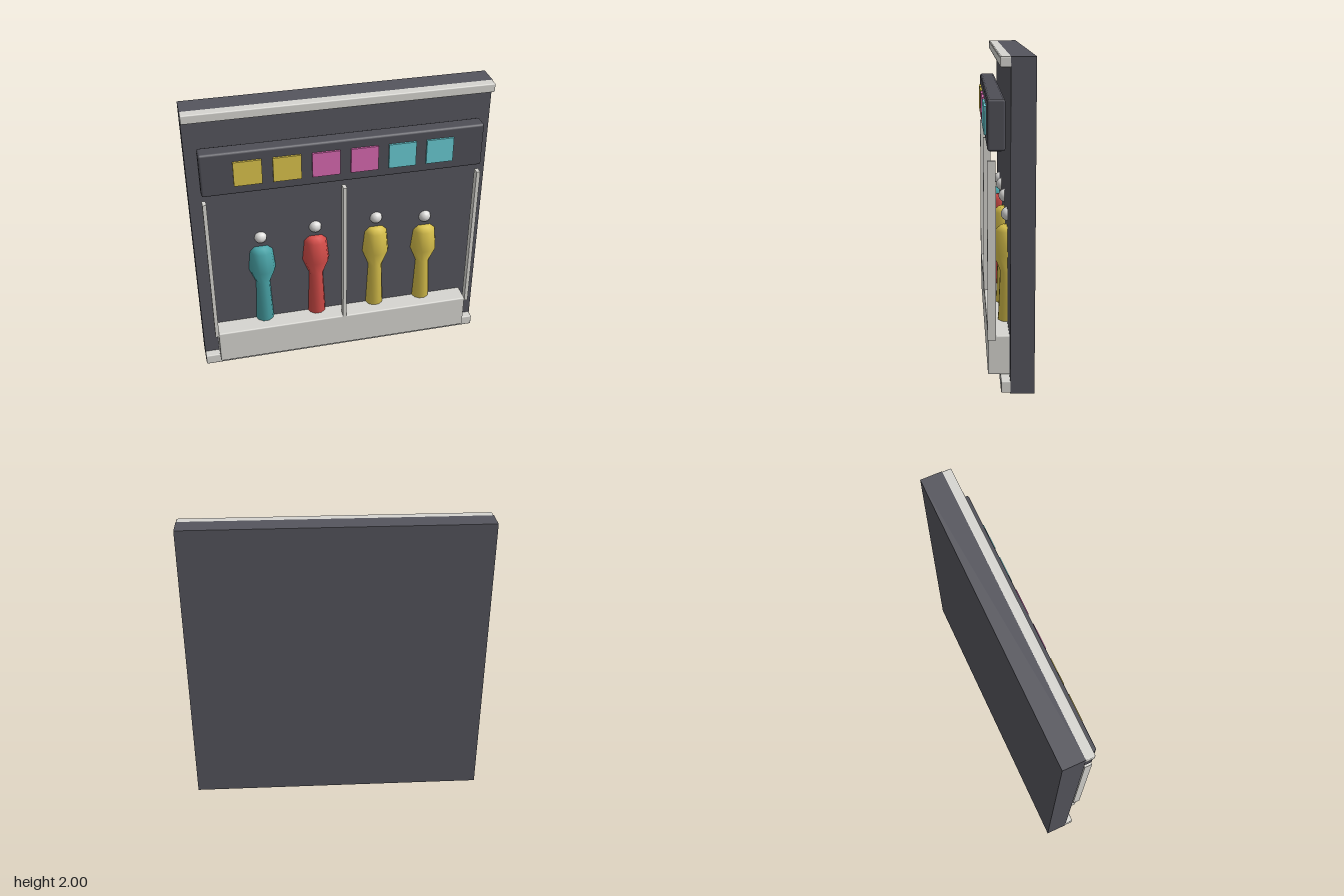
import * as THREE from 'three';
import { RoundedBoxGeometry } from 'three/addons/geometries/RoundedBoxGeometry.js';

export function createModel() {
  const model = new THREE.Group();
  model.name = 'displayWall';

  const material = (name, color) => {
    const m = new THREE.MeshStandardMaterial({ color });
    m.name = name;
    return m;
  };
  const charcoal = material('charcoal', 0x55555d);
  const darkGrey = material('darkGrey', 0x4e4e56);
  const stone = material('paleStone', 0xd6d5d0);
  const yellow = material('yellow', 0xdac24c);
  const pink = material('pink', 0xd868b0);
  const cyan = material('cyan', 0x68cad2);
  const teal = material('teal', 0x4aa6aa);
  const red = material('red', 0xd84e4a);
  const headGrey = material('headGrey', 0xdcdbd9);

  // Box given by its limits on each axis, chamfered when bevel > 0
  const box = (name, mat, [x0, x1], [y0, y1], [z0, z1], bevel = 0) => {
    const size = [x1 - x0, y1 - y0, z1 - z0];
    const geometry = bevel ? new RoundedBoxGeometry(...size, 1, bevel) : new THREE.BoxGeometry(...size);
    const mesh = new THREE.Mesh(geometry, mat);
    mesh.name = name;
    mesh.position.set((x0 + x1) / 2, (y0 + y1) / 2, (z0 + z1) / 2);
    model.add(mesh);
  };

  // Wall slab with top and bottom trims
  box('wall', charcoal, [-1, 1], [0, 2], [-0.145, 0]);
  box('topTrim', stone, [-1, 1], [1.94, 2], [-0.01, 0.06], 0.008);
  box('bottomTrim', stone, [-1, 1], [0.005, 0.08], [-0.01, 0.055], 0.008);

  // Plinth and the three posts in front of it
  box('plinth', stone, [-0.9, 0.9], [0.08, 0.33], [-0.01, 0.13], 0.01);
  for (const x of [-0.91, 0, 0.91]) {
    box('post', stone, [x - 0.0125, x + 0.0125], [0.31, 1.4], [0.082, 0.132]);
  }

  // Sign box with coloured panels
  box('signBox', darkGrey, [-0.922, 0.922], [1.455, 1.755], [0.025, 0.13], 0.015);
  [yellow, yellow, pink, pink, cyan, cyan].forEach((mat, i) => {
    const x = -0.625 + i * 0.25;
    box('signPanel', mat, [x - 0.09, x + 0.09], [1.52, 1.69], [0.128, 0.144]);
  });

  // Standing figures: turned body (radius, fraction of height) and a ball head
  const profile = [[0, 0], [0.064, 0], [0.05, 0.52], [0.095, 0.71], [0.079, 0.95], [0.045, 1], [0, 1]]
    .map(([r, y]) => new THREE.Vector2(r, y));
  const figure = (x, height, mat) => {
    const group = new THREE.Group();
    group.name = 'figure';
    group.position.set(x, 0.33, -0.005);
    const body = new THREE.Mesh(new THREE.LatheGeometry(profile, 10, Math.PI / 2), mat);
    body.name = 'body';
    body.scale.y = height;
    const head = new THREE.Mesh(new THREE.SphereGeometry(0.044, 12, 8), headGrey);
    head.name = 'head';
    head.position.y = height + 0.073;
    group.add(body, head);
    model.add(group);
  };
  figure(-0.553, 0.61, teal);
  figure(-0.178, 0.64, red);
  figure(0.247, 0.65, yellow);
  figure(0.597, 0.61, yellow);

  return model;
}
